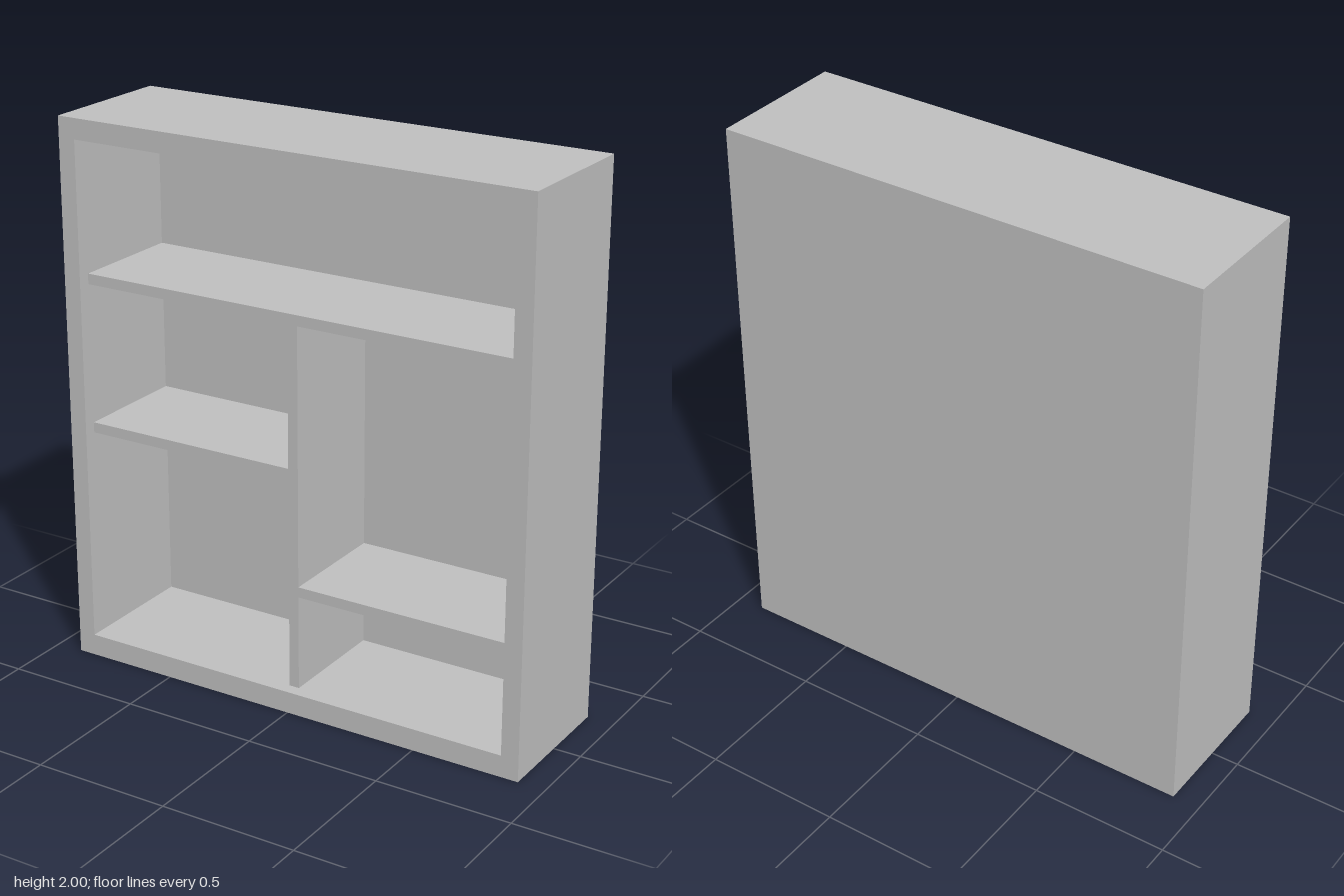
import * as THREE from 'three';

export function createModel() {
  const model = new THREE.Group();
  model.name = 'shelfUnit';
  const grey = new THREE.MeshStandardMaterial({ color: 0xc0c0c0 });
  grey.name = 'plain grey';

  const W = 0.9, H = 2, D = 0.262;             // half width, height, half depth
  const inX = 0.835, inBottom = 0.08, inTop = 1.926;
  const backZ = -0.218, shelfZ = 0.216;        // inner back face, recessed shelf fronts

  function add(name, geometry) {
    const mesh = new THREE.Mesh(geometry, grey);
    mesh.name = name;
    model.add(mesh);
    return mesh;
  }

  // Box given by its minimum and maximum on each axis
  function board(name, x0, x1, y0, y1, z0, z1) {
    add(name, new THREE.BoxGeometry(x1 - x0, y1 - y0, z1 - z0))
      .position.set((x0 + x1) / 2, (y0 + y1) / 2, (z0 + z1) / 2);
  }

  // Outer frame: a rectangle with an opening, running the full depth
  const rect = (Type, x, y0, y1) => new Type([
    new THREE.Vector2(-x, y0), new THREE.Vector2(x, y0),
    new THREE.Vector2(x, y1), new THREE.Vector2(-x, y1),
  ]);
  const outline = rect(THREE.Shape, W, 0, H);
  outline.holes.push(rect(THREE.Path, inX, inBottom, inTop));
  add('frame', new THREE.ExtrudeGeometry(outline, { depth: 2 * D, bevelEnabled: false }))
    .position.z = -D;

  // Back panel closes the opening
  board('backPanel', -inX, inX, inBottom, inTop, -D, backZ);

  // Shelves and upright divider, set back from the frame front
  board('topShelf', -inX, inX, 1.406, 1.444, backZ, shelfZ);
  board('divider', -0.019, 0.019, inBottom, 1.406, backZ, shelfZ);
  board('rightShelf', -inX, -0.019, 0.857, 0.895, backZ, shelfZ);
  board('leftShelf', 0.019, inX, 0.428, 0.466, backZ, shelfZ);

  return model;
}
